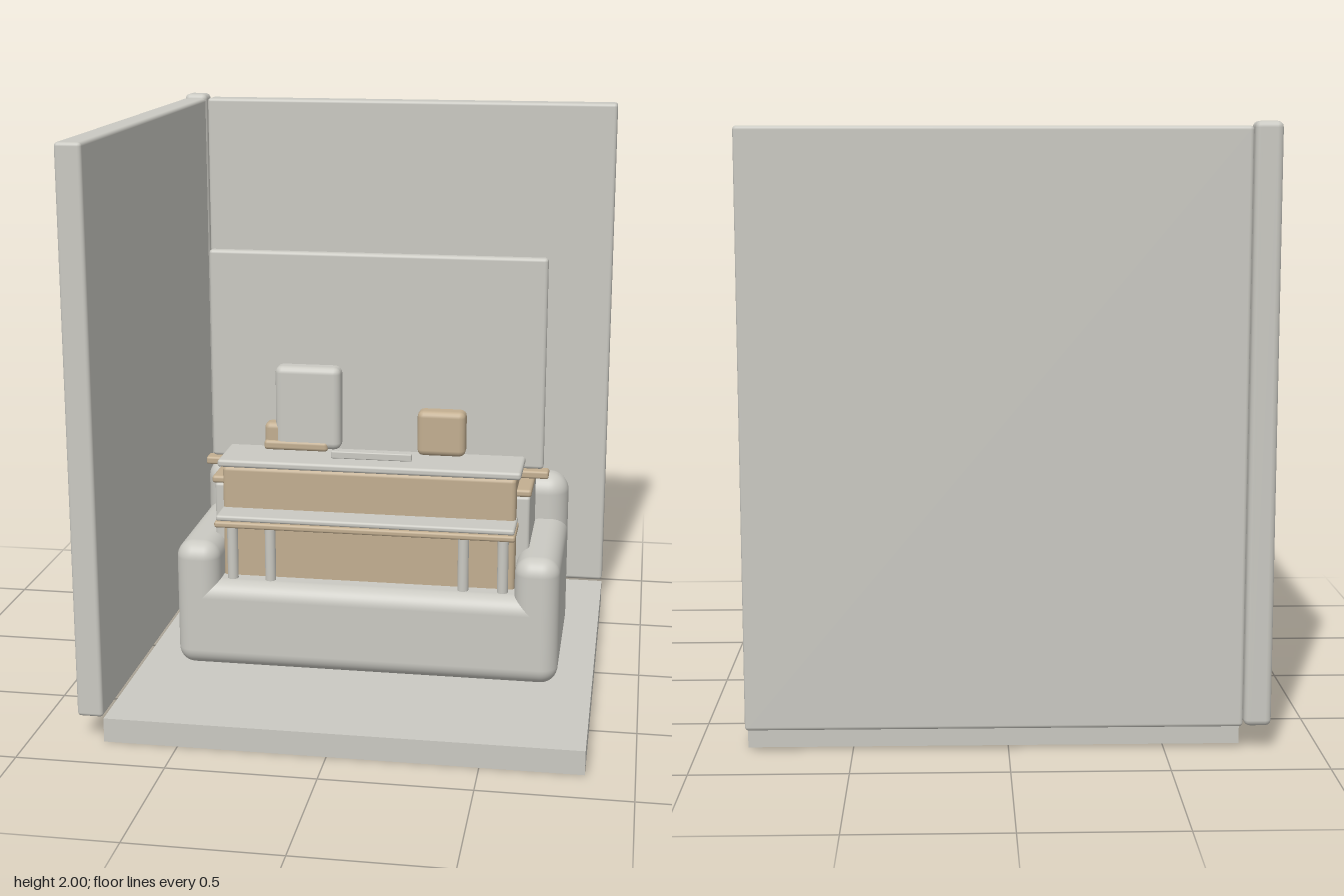
import * as THREE from 'three';
import { RoundedBoxGeometry } from 'three/addons/geometries/RoundedBoxGeometry.js';

const grey = new THREE.MeshStandardMaterial({ color: 0xcac9c2 });
grey.name = 'warm grey';
const wood = new THREE.MeshStandardMaterial({ color: 0xc2ae90 });
wood.name = 'light wood';

export function createModel() {
  const model = new THREE.Group();
  model.name = 'officeCorner';

  function group(name) {
    const g = new THREE.Group();
    g.name = name;
    model.add(g);
    return g;
  }

  // Box from its limits on each axis, with optional rounded edges
  function block(parent, name, mat, [x0, x1], [y0, y1], [z0, z1], r = 0) {
    const size = [x1 - x0, y1 - y0, z1 - z0];
    const radius = Math.min(r, Math.min(...size) * 0.49);
    const geo = r > 0
      ? new RoundedBoxGeometry(...size, r > 0.03 ? 5 : 2, radius)
      : new THREE.BoxGeometry(...size);
    const mesh = new THREE.Mesh(geo, mat);
    mesh.name = name;
    mesh.position.set((x0 + x1) / 2, (y0 + y1) / 2, (z0 + z1) / 2);
    parent.add(mesh);
    return mesh;
  }

  function rod(parent, name, x, z, y0, y1, radius, sides = 20) {
    const mesh = new THREE.Mesh(new THREE.CylinderGeometry(radius, radius, y1 - y0, sides), grey);
    mesh.name = name;
    mesh.position.set(x, (y0 + y1) / 2, z);
    parent.add(mesh);
  }

  // Room shell
  const room = group('room');
  block(room, 'floor', grey, [-0.75, 0.84], [0, 0.083], [-0.745, 0.84]);
  block(room, 'backWall', grey, [-0.748, 0.84], [0.085, 1.985], [-0.84, -0.752], 0.012);
  block(room, 'sideWall', grey, [-0.84, -0.752], [0.085, 1.985], [-0.748, 0.84], 0.012);
  block(room, 'cornerPost', grey, [-0.84, -0.752], [0.085, 2], [-0.84, -0.752], 0.02);

  // Sofa
  const sofa = group('sofa');
  block(sofa, 'sofaSeat', grey, [-0.625, 0.72], [0.085, 0.4], [-0.265, 0.365], 0.06);
  block(sofa, 'sofaBack', grey, [-0.625, 0.72], [0.085, 0.7], [-0.265, -0.115], 0.07);
  for (const [name, x] of [['rightArm', -0.625], ['leftArm', 0.565]]) {
    block(sofa, name, grey, [x, x + 0.155], [0.085, 0.54], [-0.265, 0.365], 0.06);
  }

  // Desk behind the counter
  const desk = group('desk');
  block(desk, 'deskBody', grey, [-0.51, 0.605], [0.085, 0.72], [-0.11, 0.21], 0.01);
  block(desk, 'deskTop', wood, [-0.52, 0.61], [0.72, 0.747], [-0.118, 0.213], 0.01);

  // Dividing screen on its rail
  const screen = group('screen');
  block(screen, 'screenRail', wood, [-0.57, 0.66], [0.752, 0.78], [0.035, 0.092], 0.008);
  block(screen, 'screenPanel', grey, [-0.55, 0.64], [0.78, 1.53], [0.03, 0.068], 0.012);

  // Counter with front shelf
  const counter = group('counter');
  block(counter, 'counterBody', wood, [-0.47, 0.56], [0.085, 0.798], [-0.165, 0.263], 0.015);
  block(counter, 'counterTop', grey, [-0.485, 0.577], [0.798, 0.825], [-0.183, 0.275], 0.01);
  block(counter, 'shelfTop', grey, [-0.472, 0.565], [0.63, 0.65], [0.2, 0.365], 0.008);
  block(counter, 'shelfBase', wood, [-0.477, 0.568], [0.608, 0.63], [0.2, 0.373], 0.008);
  for (const x of [-0.43, -0.295, 0.385, 0.522]) {
    rod(counter, 'shelfLeg', x, 0.292, 0.083, 0.61, 0.019);
  }

  // Things on the counter
  const items = group('counterItems');
  block(items, 'monitor', grey, [-0.31, -0.075], [0.83, 1.13], [-0.113, 0.12], 0.025);
  block(items, 'smallBox', wood, [-0.35, -0.13], [0.825, 0.922], [-0.03, 0.115], 0.02);
  block(items, 'smallBoxLip', wood, [-0.35, -0.12], [0.825, 0.86], [-0.03, 0.124], 0.012);
  block(items, 'tallBox', wood, [0.198, 0.368], [0.825, 0.987], [-0.028, 0.122], 0.022);
  block(items, 'namePlate', grey, [-0.095, 0.19], [0.825, 0.851], [0.181, 0.196], 0.004);

  // Chair behind the sofa
  const chair = group('chair');
  rod(chair, 'chairBase', 0.045, -0.165, 0.083, 0.103, 0.175, 32);
  rod(chair, 'chairColumn', 0.045, -0.165, 0.1, 0.37, 0.025);
  block(chair, 'chairSeat', grey, [-0.135, 0.225], [0.362, 0.412], [-0.33, 0.02], 0.02);
  const back = block(chair, 'chairBack', grey, [-0.135, 0.225], [0.45, 0.795], [-0.381, -0.334], 0.022);
  back.rotation.x = -0.075;

  return model;
}
